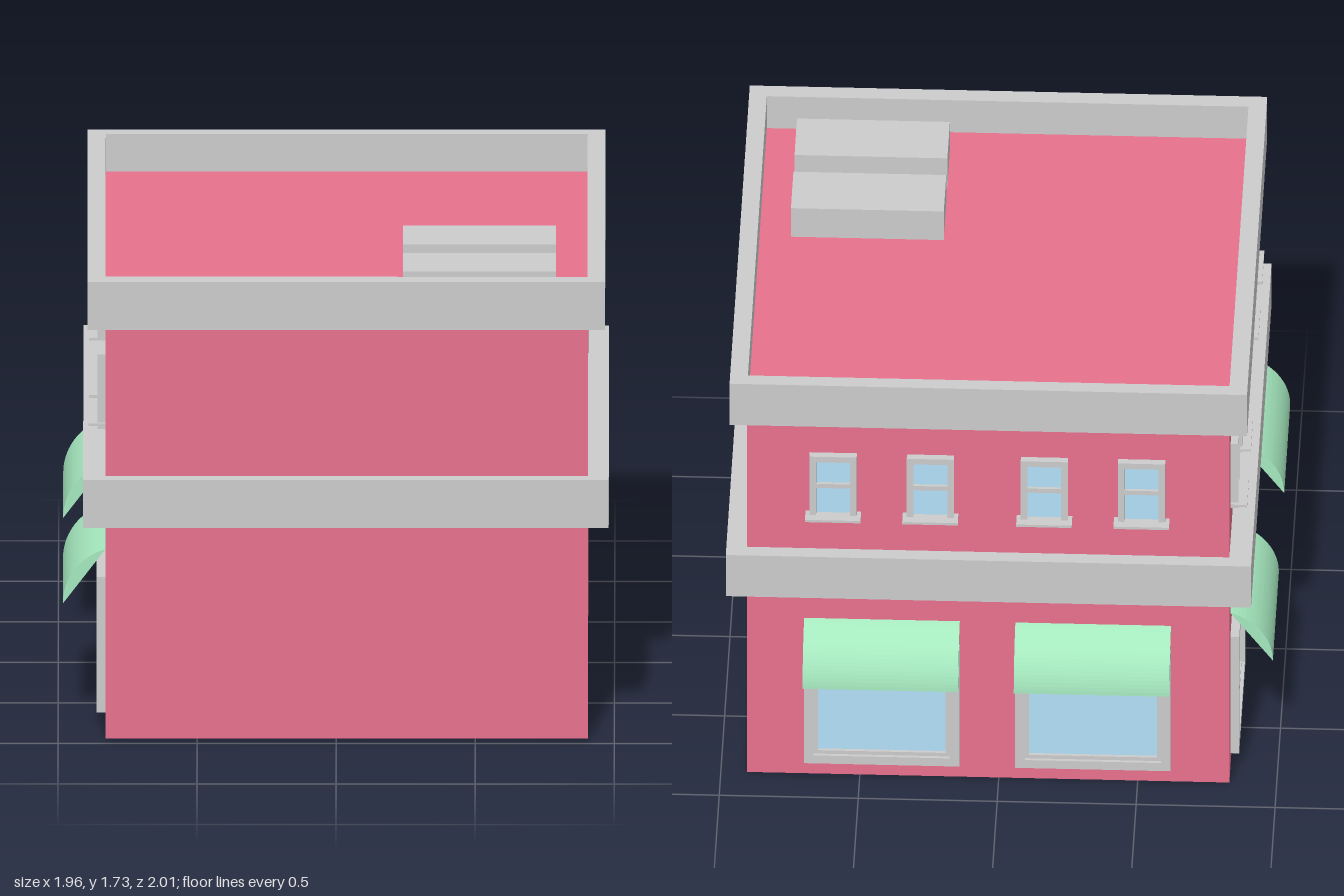
import * as THREE from 'three';

const material = (color) => new THREE.MeshStandardMaterial({ color });
const grey = material(0xcccccc);
const pink = material(0xe7718d);
const green = material(0xa5e8be);
const glass = material(0xb2dff8);

function add(parent, name, geometry, mat) {
  const mesh = new THREE.Mesh(geometry, mat);
  mesh.name = name;
  parent.add(mesh);
  return mesh;
}

// Box given by its lower and upper corner
function box(parent, name, mat, [x0, y0, z0], [x1, y1, z1]) {
  const mesh = add(parent, name, new THREE.BoxGeometry(x1 - x0, y1 - y0, z1 - z0), mat);
  mesh.position.set((x0 + x1) / 2, (y0 + y1) / 2, (z0 + z1) / 2);
  return mesh;
}

const rect = (Type, x0, y0, x1, y1) => new Type([
  new THREE.Vector2(x0, y0), new THREE.Vector2(x1, y0),
  new THREE.Vector2(x1, y1), new THREE.Vector2(x0, y1),
]);

// Rectangular ring in the xy plane, extruded along +z
function ring(outer, inner, depth) {
  const shape = rect(THREE.Shape, ...outer);
  shape.holes.push(rect(THREE.Path, ...inner));
  return new THREE.ExtrudeGeometry(shape, { depth, bevelEnabled: false });
}

// Frame of width w and border b, from y0 to y1, standing on the wall
function frame(parent, name, w, y0, y1, b, depth) {
  const h = w / 2;
  return add(parent, name, ring([-h, y0, h, y1], [-h + b, y0 + b, h - b, y1 - b], depth), grey);
}

// Shop window with its quarter-round awning
function shopWindow(facade, u) {
  const g = new THREE.Group();
  g.name = 'shopWindow';
  g.position.x = u;
  facade.add(g);
  frame(g, 'outerFrame', 0.56, 0.07, 0.58, 0.035, 0.032);
  frame(g, 'innerFrame', 0.50, 0.10, 0.55, 0.02, 0.02);
  box(g, 'shopGlass', glass, [-0.25, 0.1, 0], [0.25, 0.55, 0.008]);

  // Awning profile: arc about a centre just inside the wall
  const r = 0.213, c = -0.06;
  const profile = new THREE.Shape();
  profile.moveTo(0, 0);
  profile.absarc(c, 0, r, 0, Math.acos(-c / r), false);
  profile.closePath();
  const awning = add(g, 'awning', new THREE.ExtrudeGeometry(profile,
    { depth: 0.56, bevelEnabled: false, curveSegments: 9 }), green);
  awning.rotation.y = -Math.PI / 2;
  awning.position.set(0.28, 0.48, 0);
}

// Sash window with two panes and a sill
function sashWindow(facade, u) {
  const g = new THREE.Group();
  g.name = 'sashWindow';
  g.position.x = u;
  facade.add(g);
  frame(g, 'sashFrame', 0.17, 1.13, 1.41, 0.024, 0.028);
  box(g, 'meetingRail', grey, [-0.065, 1.268, 0], [0.065, 1.286, 0.02]);
  box(g, 'sashGlass', glass, [-0.065, 1.15, 0], [0.065, 1.39, 0.008]);
  box(g, 'sill', grey, [-0.1, 1.145, 0], [0.1, 1.155, 0.06]);
}

export function createModel() {
  const model = new THREE.Group();
  model.name = 'shopBuilding';
  const X0 = -0.83, X1 = 0.905, Z0 = -0.855, Z1 = 0.95;
  const doorZ0 = -0.12, doorZ1 = 0.16, doorX = -0.73, doorTop = 0.4;

  // Lower walls: footprint with a notch for the doorway
  const footprint = new THREE.Shape([
    [X0, Z0], [X1, Z0], [X1, Z1], [X0, Z1],
    [X0, doorZ1], [doorX, doorZ1], [doorX, doorZ0], [X0, doorZ0],
  ].map(([x, z]) => new THREE.Vector2(x, z)));
  const lower = add(model, 'lowerWalls', new THREE.ExtrudeGeometry(footprint,
    { depth: doorTop - 0.004, bevelEnabled: false }), pink);
  lower.rotation.x = Math.PI / 2;
  lower.position.y = doorTop;
  box(model, 'doorwayFloor', pink, [X0, 0.004, doorZ0], [doorX, 0.008, doorZ1]);
  box(model, 'upperWalls', pink, [X0, doorTop, Z0], [X1, 1.59, Z1]);

  // Stone band and roof parapet
  box(model, 'floorBand', grey, [-0.91, 0.81, -0.91], [0.98, 0.99, 1.0]);
  const parapet = add(model, 'parapet',
    ring([-0.895, -0.895, 0.967, 0.985], [-0.83, -0.84, 0.903, 0.92], 0.18), grey);
  parapet.rotation.x = Math.PI / 2;
  parapet.position.y = 1.73;

  // Roof units
  for (const z of [0.24, 0.575]) {
    box(model, 'roofUnit', grey, [0.24, 1.585, z], [0.79, 1.715, z + 0.23]);
  }

  // Facades: local x runs along the wall, local z points outwards
  const back = new THREE.Group();
  back.name = 'backFacade';
  back.position.z = Z0;
  back.rotation.y = Math.PI;
  const side = new THREE.Group();
  side.name = 'sideFacade';
  side.position.x = X0;
  side.rotation.y = -Math.PI / 2;
  model.add(back, side);
  for (const [facade, centres] of [[back, [-0.42, 0.34]], [side, [-0.485, 0.57]]]) {
    for (const u of centres) {
      shopWindow(facade, u);
      sashWindow(facade, u - 0.175);
      sashWindow(facade, u + 0.175);
    }
  }

  // Glazed door at the back of the recess
  const door = new THREE.Group();
  door.name = 'door';
  door.position.set(0.02, 0, X0 - doorX);
  side.add(door);
  frame(door, 'doorFrame', 0.2, 0, 0.37, 0.03, 0.015).position.z = 0;
  box(door, 'doorRail', grey, [-0.075, 0.17, 0], [0.075, 0.195, 0.012]);
  box(door, 'doorGlass', glass, [-0.075, 0.025, 0], [0.075, 0.345, 0.006]);

  return model;
}
